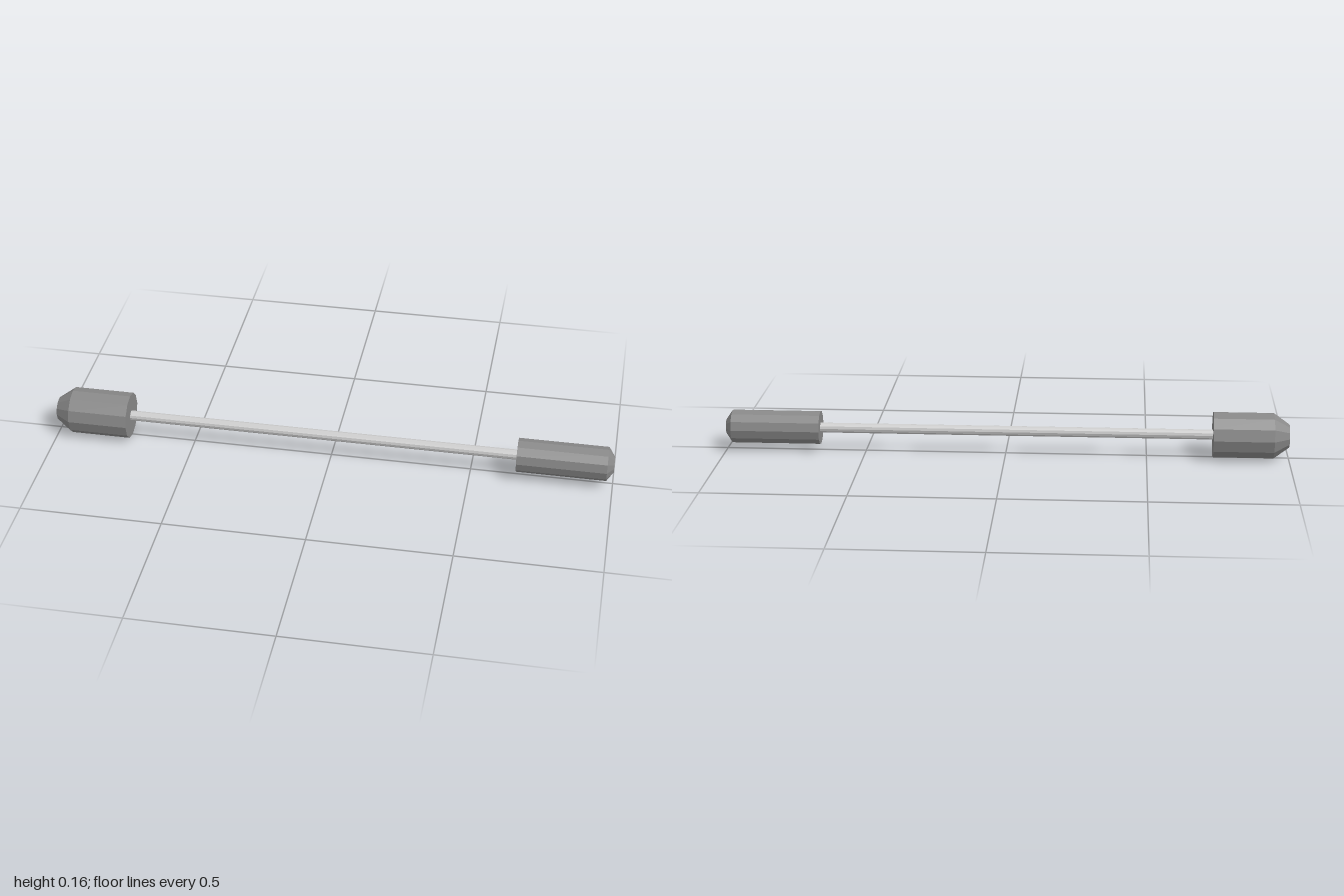
import * as THREE from 'three';

const SIDES = 12;
const AXIS_Y = 0.082;

// Turned part lying along x; profile is [x, radius] from -x to +x
function turned(name, profile, color) {
  const points = profile.map(([x, r]) => new THREE.Vector2(r, x));
  const geometry = new THREE.LatheGeometry(points, SIDES);
  geometry.rotateZ(-Math.PI / 2);
  const mesh = new THREE.Mesh(geometry, new THREE.MeshStandardMaterial({ color, flatShading: true }));
  mesh.name = name;
  mesh.position.y = AXIS_Y;
  return mesh;
}

export function createModel() {
  const group = new THREE.Group();
  group.name = 'rodWithWeightedEnds';

  // Heavy head with a tapered nose
  group.add(turned('largeHead', [[-1, 0], [-1, 0.042], [-0.945, 0.082], [-0.733, 0.082], [-0.733, 0]], 0x888888));

  // Thin shaft, set slightly into both heads
  group.add(turned('rod', [[-0.75, 0], [-0.75, 0.018], [0.68, 0.018], [0.68, 0]], 0xcccccc));

  // Slim grip with a bevelled end
  group.add(turned('smallHead', [[0.662, 0], [0.662, 0.06], [0.977, 0.06], [1, 0.027], [1, 0]], 0x888888));

  return group;
}
